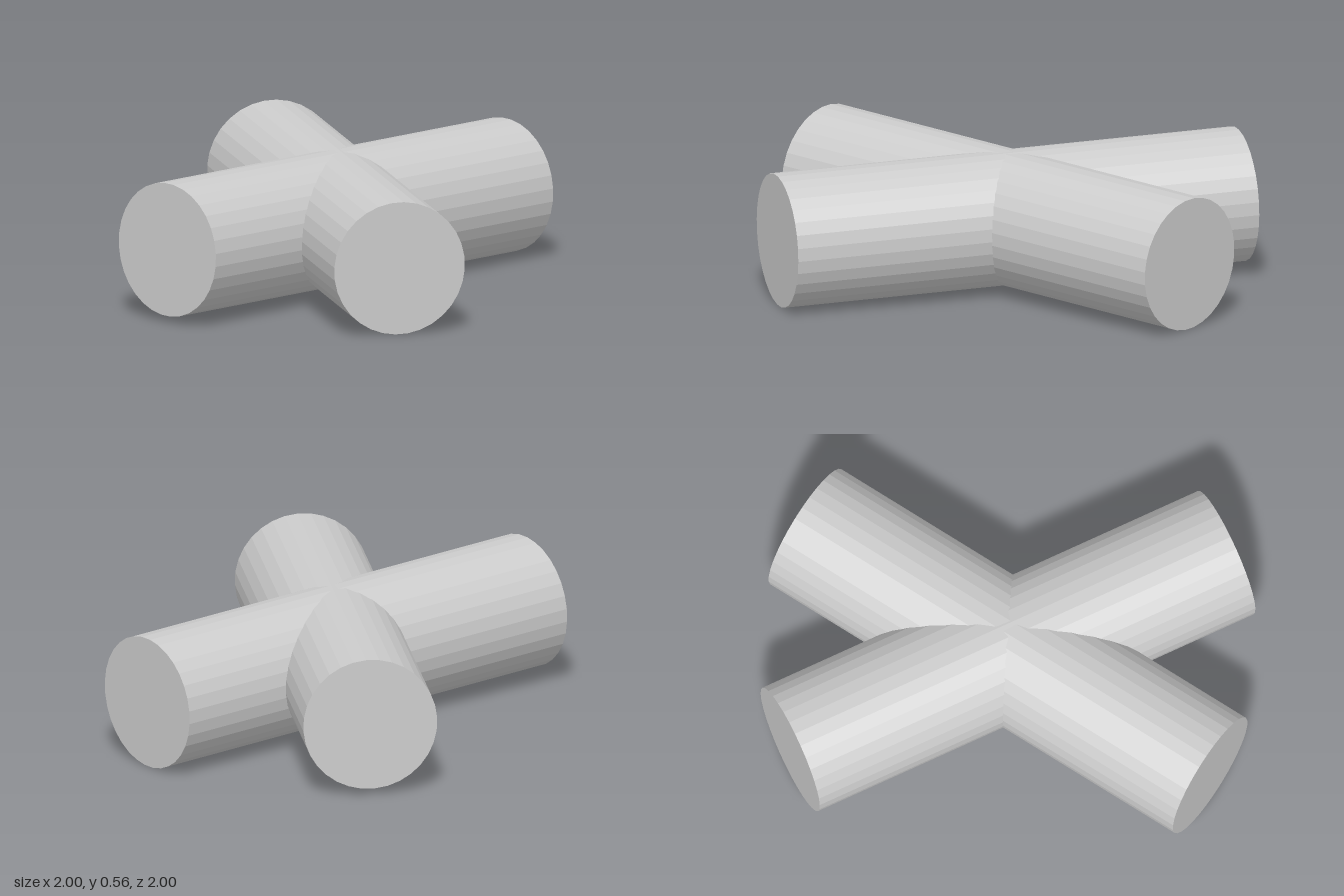
import * as THREE from 'three';

const RADIUS = 0.269;
const LENGTH = 1.925;
const CENTRE_Y = 0.282;

// A closed bar laid through the centre along the given direction
function bar(name, direction) {
  const geometry = new THREE.CylinderGeometry(RADIUS, RADIUS, LENGTH, 32);
  const material = new THREE.MeshStandardMaterial({ color: 0xcccccc, flatShading: true });
  const mesh = new THREE.Mesh(geometry, material);
  mesh.name = name;
  mesh.quaternion.setFromUnitVectors(new THREE.Vector3(0, 1, 0), direction.normalize());
  mesh.position.y = CENTRE_Y;
  return mesh;
}

export function createModel() {
  const group = new THREE.Group();
  group.name = 'crossedCylinders';

  // Two bars crossing nearly at right angles, each tilted very slightly
  group.add(bar('sidewaysBar', new THREE.Vector3(0.923, -0.0125, -0.263)));
  group.add(bar('lengthwiseBar', new THREE.Vector3(0.245, 0.0125, -0.93)));

  return group;
}
